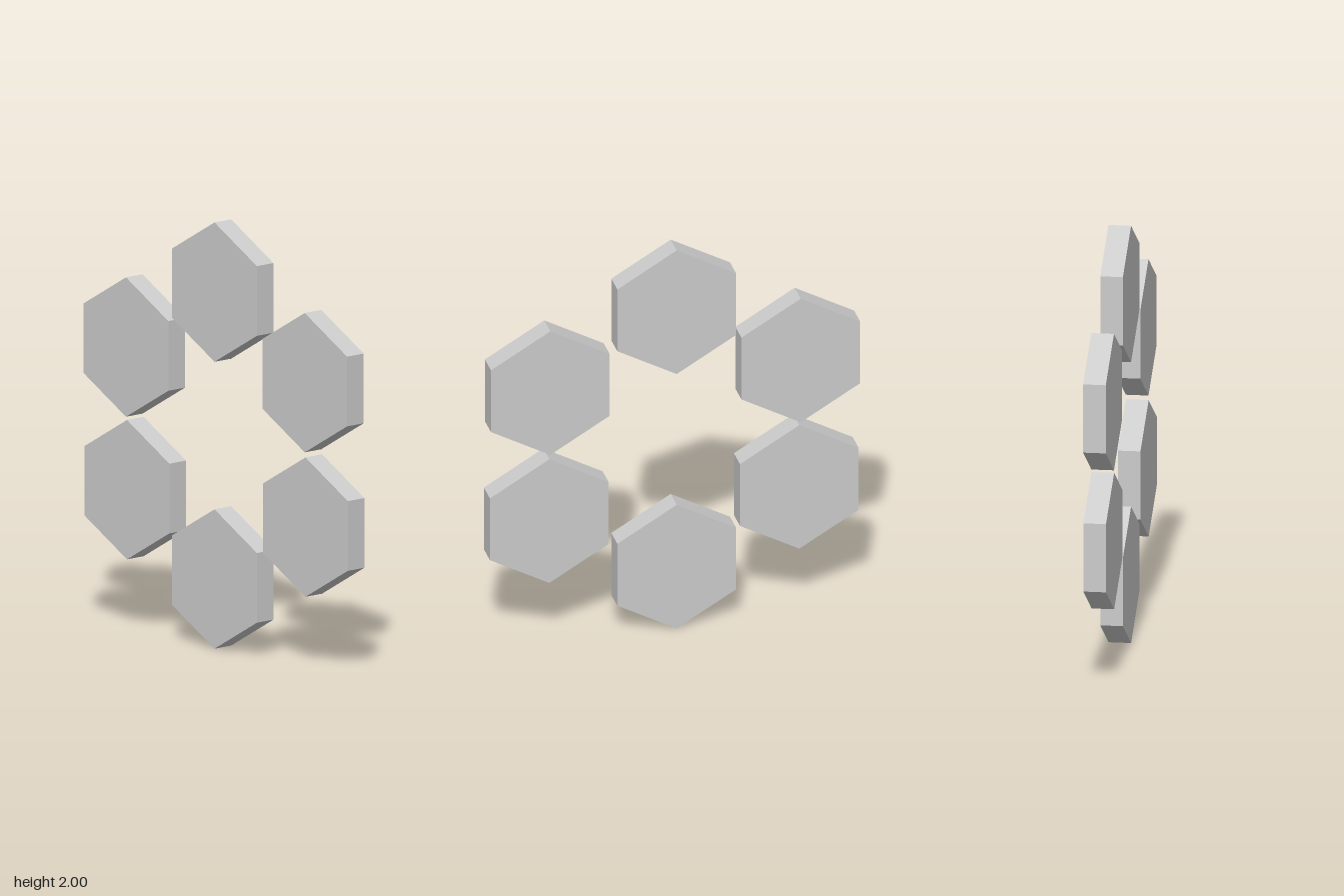
import * as THREE from 'three';

const RADIUS = 0.327;
const THICKNESS = 0.105;

// Tile centres around the ring: [name, z, y]
const TILES = [
  ['topTile', -0.008, 1.673],
  ['upperFrontTile', 0.595, 1.337],
  ['lowerFrontTile', 0.6, 0.66],
  ['bottomTile', -0.008, 0.327],
  ['lowerBackTile', -0.593, 0.66],
  ['upperBackTile', -0.6, 1.328],
];

export function createModel() {
  const group = new THREE.Group();
  group.name = 'hexagonRing';
  const material = new THREE.MeshStandardMaterial({ color: 0xcccccc, flatShading: true });

  // Hexagonal prism lying along x, with a corner pointing up
  const geometry = new THREE.CylinderGeometry(RADIUS, RADIUS, THICKNESS, 6);
  geometry.rotateY(Math.PI / 2).rotateZ(Math.PI / 2);

  for (const [name, z, y] of TILES) {
    const tile = new THREE.Mesh(geometry, material);
    tile.name = name;
    tile.position.set(0, y, z);
    group.add(tile);
  }
  return group;
}
